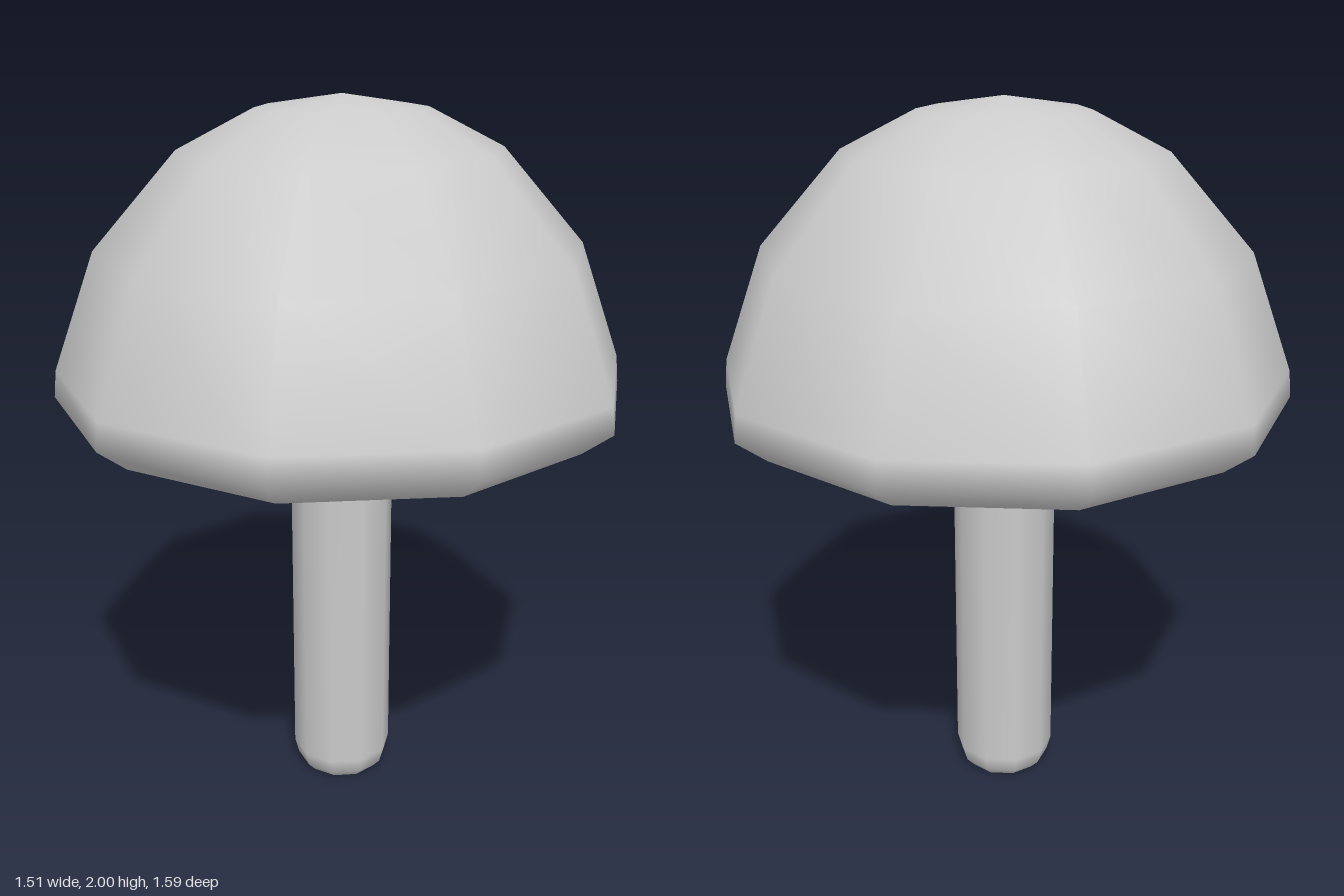
import * as THREE from 'three';

const SIDES = 10;

// Revolve a [radius, height] profile; listed from the bottom axis outward and up.
function turned(name, profile, flatShading = false) {
  const points = profile.map(([r, y]) => new THREE.Vector2(r, y));
  const material = new THREE.MeshStandardMaterial({ color: 0xcccccc, flatShading });
  const mesh = new THREE.Mesh(new THREE.LatheGeometry(points, SIDES), material);
  mesh.name = name;
  return mesh;
}

export function createModel() {
  const group = new THREE.Group();
  group.name = 'mushroom';

  // Domed cap with a bevelled rim
  group.add(turned('cap', [
    [0.71, 1.135], [0.793, 1.2], [0.785, 1.275], [0.665, 1.6],
    [0.435, 1.86], [0.23, 1.965], [0, 2],
  ]));

  // Faceted hollow under the cap
  group.add(turned('capUnderside', [[0, 1.4], [0.38, 1.36], [0.71, 1.135]], true));

  // Stem with a rounded foot, flaring out where it meets the cap
  group.add(turned('stem', [
    [0.11, 0], [0.133, 0.025], [0.145, 0.07], [0.145, 1.27],
    [0.17, 1.305], [0.25, 1.335], [0.41, 1.355],
  ]));
  group.add(turned('stemBase', [[0, 0], [0.11, 0]], true));

  return group;
}
